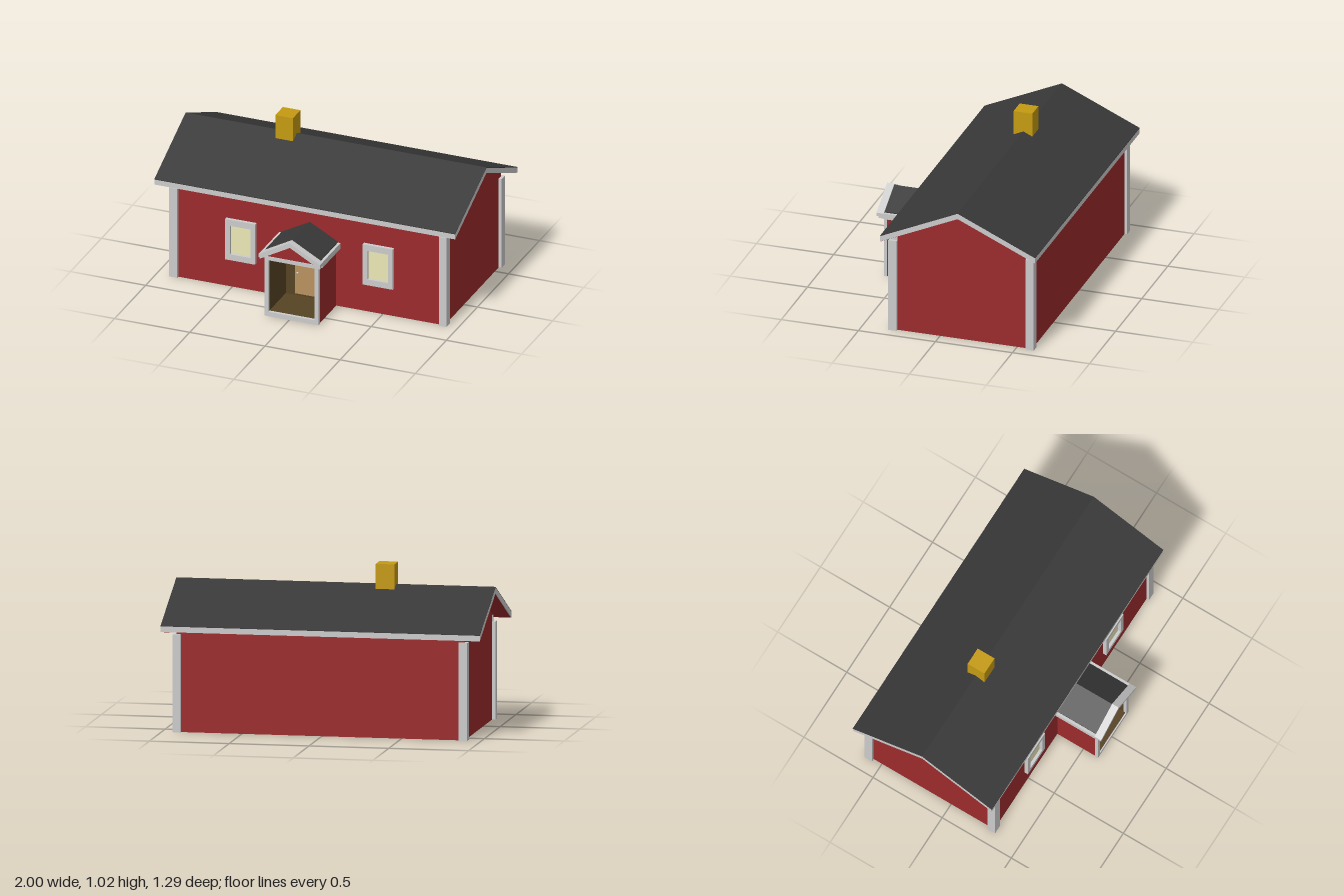
import * as THREE from 'three';

const mat = (color, side = THREE.FrontSide) =>
  new THREE.MeshStandardMaterial({ color, side, flatShading: true });
const red = mat(0x9b2a2c), trim = mat(0xcccccc), black = mat(0x383838), brown = mat(0x564323);
const brick = mat(0xc59a12), wood = mat(0xb9925f), glass = mat(0xebe8b7);

function add(parent, name, geometry, material) {
  const mesh = new THREE.Mesh(geometry, material);
  mesh.name = name;
  parent.add(mesh);
  return mesh;
}

// Box given by its lower and upper limits on each axis
function box(parent, name, material, x0, x1, y0, y1, z0, z1) {
  const g = new THREE.BoxGeometry(x1 - x0, y1 - y0, z1 - z0);
  g.translate((x0 + x1) / 2, (y0 + y1) / 2, (z0 + z1) / 2);
  return add(parent, name, g, material);
}

// Profile extruded along z
function prismZ(points, z0, z1, holes = []) {
  const shape = new THREE.Shape(points.map(p => new THREE.Vector2(...p)));
  for (const h of holes) shape.holes.push(new THREE.Path(h.map(p => new THREE.Vector2(...p))));
  const g = new THREE.ExtrudeGeometry(shape, { depth: z1 - z0, bevelEnabled: false });
  return g.translate(0, 0, z0);
}

// Profile in (z, y) extruded along x
function prismX(points, x0, x1) {
  return prismZ(points, 0, x1 - x0).rotateY(-Math.PI / 2).translate(x1, 0, 0);
}

const rect = (x0, x1, y0, y1) => [[x0, y0], [x1, y0], [x1, y1], [x0, y1]];

// Gable roof section: two slopes of constant vertical thickness
function chevron(mid, half, eave, ridge, t) {
  return [[mid - half, eave - t], [mid, ridge - t], [mid + half, eave - t],
    [mid + half, eave], [mid, ridge], [mid - half, eave]];
}

function makeWindow(parent, x) {
  const w = new THREE.Group();
  w.name = 'window';
  add(w, 'windowFrame',
    prismZ(rect(x - 0.1, x + 0.1, 0.19, 0.466), 0.3, 0.335,
      [rect(x - 0.068, x + 0.068, 0.23, 0.425)]), trim);
  box(w, 'windowPane', glass, x - 0.07, x + 0.07, 0.225, 0.43, 0.3, 0.316);
  parent.add(w);
}

function makePorch() {
  const porch = new THREE.Group();
  porch.name = 'porch';
  const c = 0.015, l = -0.16, r = 0.19, back = 0.3, front = 0.6;
  // Walls and brown lining
  for (const s of [-1, 1]) {
    const span = (a, b) => [c + Math.min(s * a, s * b), c + Math.max(s * a, s * b)];
    box(porch, 'porchWall', red, ...span(0.165, 0.175), 0, 0.385, back, front);
    box(porch, 'porchLining', brown, ...span(0.155, 0.165), 0.03, 0.385, back, front);
    box(porch, 'porchEaveBoard', trim, ...span(0.181, 0.204), 0.396, 0.434, back, front + 0.006);
  }
  box(porch, 'porchBase', red, l, r, 0, 0.02, back, front);
  box(porch, 'porchFloor', brown, l + 0.01, r - 0.01, 0.02, 0.03, back, front);
  box(porch, 'porchBackWall', brown, l + 0.01, r - 0.01, 0.03, 0.385, back, 0.325);
  box(porch, 'porchCeiling', brown, l + 0.01, r - 0.01, 0.385, 0.39, back, front);
  box(porch, 'porchRoofBase', black, l - 0.003, r + 0.003, 0.381, 0.41, back, front - 0.002);

  // White frame around the entrance
  add(porch, 'entranceFrame',
    prismZ(rect(-0.165, 0.195, 0, 0.408), front - 0.012, front + 0.008,
      [rect(-0.139, 0.169, 0.03, 0.383)]), trim);

  // Gable, roof and stepped gable trim
  add(porch, 'porchGable',
    prismZ([[l, 0.405], [r, 0.405], [r, 0.43], [c, 0.52], [l, 0.43]], back, front + 0.003), red);
  add(porch, 'porchRoof', prismZ(chevron(c, 0.186, 0.44, 0.54, 0.03), back, front + 0.003), black);
  add(porch, 'gableTrim', prismZ(chevron(c, 0.205, 0.434, 0.547, 0.022), front, 0.647), trim);
  add(porch, 'gableTrimInner', prismZ(chevron(c, 0.2, 0.416, 0.527, 0.018), front, 0.636), trim);

  // Door with knob
  box(porch, 'door', wood, -0.075, 0.103, 0.045, 0.36, 0.32, 0.335);
  add(porch, 'doorKnob', new THREE.SphereGeometry(0.007, 10, 8).translate(-0.056, 0.19, 0.34), trim);
  return porch;
}

export function createModel() {
  const house = new THREE.Group();
  house.name = 'house';
  const ridgeZ = -0.144, x0 = -0.895, x1 = 0.91;

  // Main walls with gable ends
  add(house, 'walls',
    prismX([[-0.597, 0], [0.312, 0], [0.312, 0.655], [ridgeZ, 0.858], [-0.597, 0.655]], x0, x1), red);

  // Main roof: pale edge boards, dark covering, red soffit
  const roof = new THREE.Group();
  roof.name = 'roof';
  add(roof, 'roofEdge', prismX(chevron(ridgeZ, 0.502, 0.662, 0.888, 0.036), -1, 1), trim);
  add(roof, 'roofCovering', prismX(chevron(ridgeZ, 0.503, 0.665, 0.891, 0.004), -1, 1), black);
  add(roof, 'soffit', prismX(chevron(ridgeZ, 0.499, 0.6275, 0.853, 0.003), -0.995, 0.995), red);
  house.add(roof);

  // Corner boards, the front ones with an inner post running up to the eave
  for (const [a, b, pa, pb] of [[-0.915, -0.86, -0.897, -0.862], [0.88, 0.93, 0.882, 0.913]]) {
    box(house, 'cornerBoard', trim, a, b, 0, 0.608, 0.276, 0.33);
    box(house, 'cornerBoard', trim, a, b, 0, 0.608, -0.614, -0.56);
    box(house, 'cornerPost', trim, pa, pb, 0.6, 0.65, 0.277, 0.314);
  }

  makeWindow(house, -0.44);
  makeWindow(house, 0.475);
  house.add(makePorch());
  box(house, 'chimney', brick, -0.377, -0.26, 0.8, 1.02, -0.202, -0.08);
  return house;
}
